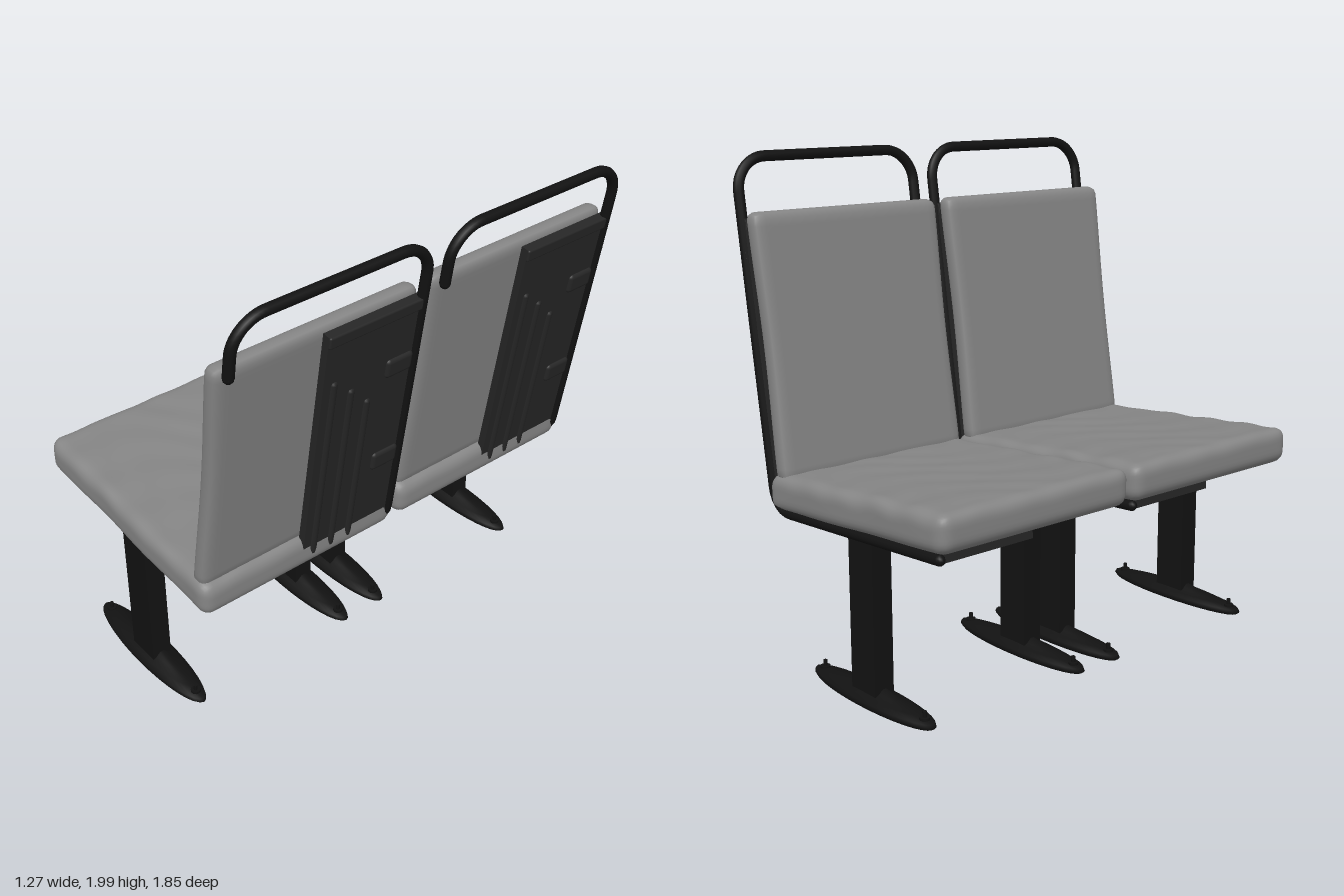
import * as THREE from 'three';
import { mergeVertices } from 'three/addons/utils/BufferGeometryUtils.js';
import { RoundedBoxGeometry } from 'three/addons/geometries/RoundedBoxGeometry.js';

const fabric = new THREE.MeshStandardMaterial({ color: 0x858585 });
const shellMat = new THREE.MeshStandardMaterial({ color: 0x262626 });
const metal = new THREE.MeshStandardMaterial({ color: 0x121212 });

const LEAN = 0.149; // backward lean of the back, x per unit of y
const backX = (y, offset = 0) => 0.497 + offset + LEAN * (y - 1.2);

function add(parent, name, geometry, material, x = 0, y = 0, z = 0) {
  const mesh = new THREE.Mesh(geometry, material);
  mesh.name = name;
  mesh.position.set(x, y, z);
  parent.add(mesh);
  return mesh;
}

// Finely divided rounded box, then bent by a rule
function cushion(size, radius, segments, bend) {
  let geo = new THREE.BoxGeometry(...size, ...segments);
  geo.deleteAttribute('uv');
  geo.deleteAttribute('normal');
  geo = mergeVertices(geo);
  const inner = new THREE.Vector3(...size).multiplyScalar(0.5).subScalar(radius);
  const low = inner.clone().negate();
  const pos = geo.attributes.position;
  const p = new THREE.Vector3(), core = new THREE.Vector3();
  for (let i = 0; i < pos.count; i++) {
    p.fromBufferAttribute(pos, i);
    core.copy(p).clamp(low, inner);
    p.sub(core).setLength(radius).add(core);
    bend(p);
    pos.setXYZ(i, p.x, p.y, p.z);
  }
  geo.computeVertexNormals();
  return geo;
}

// Straight runs joined by rounded corners
function roundedPath(points, radius) {
  const path = new THREE.CurvePath();
  let last = points[0];
  for (let i = 1; i < points.length - 1; i++) {
    const c = points[i];
    const a = points[i - 1].clone().sub(c).setLength(radius).add(c);
    const b = points[i + 1].clone().sub(c).setLength(radius).add(c);
    path.add(new THREE.LineCurve3(last, a));
    const k = 0.55;
    path.add(new THREE.CubicBezierCurve3(a, a.clone().lerp(c, k), b.clone().lerp(c, k), b));
    last = b;
  }
  path.add(new THREE.LineCurve3(last, points[points.length - 1]));
  return path;
}

function pipe(parent, name, points, corner, radius, material, segments) {
  const path = roundedPath(points, corner);
  add(parent, name, new THREE.TubeGeometry(path, segments, radius, 10), material);
  for (const e of [points[0], points[points.length - 1]])
    add(parent, name + 'End', new THREE.SphereGeometry(radius, 10, 6), material, e.x, e.y, e.z);
}

// L-shaped sheet following the back and the underside of the seat
function shellGeometry(width) {
  const v = (x, y) => new THREE.Vector3(x, y, 0);
  const path = roundedPath([v(backX(1.75, -0.008), 1.75), v(backX(0.63, -0.008), 0.63), v(-0.59, 0.69)], 0.09);
  const outer = [], inside = [];
  for (let i = 0; i <= 60; i++) {
    const p = path.getPointAt(i / 60), t = path.getTangentAt(i / 60);
    outer.push(new THREE.Vector2(p.x - t.y * 0.016, p.y + t.x * 0.016));
    inside.push(new THREE.Vector2(p.x + t.y * 0.016, p.y - t.x * 0.016));
  }
  const shape = new THREE.Shape([...outer, ...inside.reverse()]);
  return new THREE.ExtrudeGeometry(shape, { depth: width, bevelEnabled: false });
}

function leg(parent, z) {
  const g = new THREE.Group();
  g.name = 'leg';
  g.position.set(-0.11, 0, z);
  parent.add(g);
  add(g, 'post', new THREE.BoxGeometry(0.145, 0.63, 0.085), metal, 0, 0.345, 0);
  // Long oval foot, domed towards the post
  const profile = [[0, 0.005], [0.96, 0.005], [1, 0.015], [0.98, 0.028], [0.75, 0.04], [0.4, 0.054], [0.22, 0.07], [0, 0.07]];
  const foot = new THREE.LatheGeometry(profile.map(([r, y]) => new THREE.Vector2(r, y)), 32);
  foot.scale(0.367, 1, 0.075);
  add(g, 'foot', foot, metal);
  for (const x of [-0.31, 0.31]) {
    add(g, 'washer', new THREE.CylinderGeometry(0.02, 0.02, 0.012, 12), metal, x, 0.036, 0);
    add(g, 'bolt', new THREE.CylinderGeometry(0.009, 0.009, 0.03, 6), metal, x, 0.05, 0);
  }
}

function createSeat() {
  const seat = new THREE.Group();
  seat.name = 'seat';
  const v = (x, y, z) => new THREE.Vector3(x, y, z);

  // Seat cushion, sloping down to the back and lightly creased
  const base = cushion([1.07, 0.15, 0.912], 0.05, [60, 10, 50], (p) => {
    const rim = Math.pow(Math.abs(p.z) / 0.456, 6);
    const crease = Math.sin(p.x * 23 + 2 * Math.sin(p.z * 9)) * Math.sin(p.z * 17 + p.x * 4);
    if (p.y > 0) p.y += 0.003 * crease + 0.004 * rim * Math.sin(p.x * 31);
    p.z += 0.003 * Math.sin(p.x * 12) * Math.sign(p.z) * rim;
    p.y -= 0.073 * p.x;
  });
  add(seat, 'seatCushion', base, fabric, -0.1, 0.745, 0.463);

  // Back cushion, leaning backwards
  const back = cushion([0.078, 1.02, 0.868], 0.032, [6, 40, 36], (p) => {
    const side = Math.pow(Math.abs(p.z) / 0.434, 8);
    p.z -= Math.sign(p.z) * 0.005 * side * Math.cos(p.y * 6);
    p.x += LEAN * p.y;
  });
  add(seat, 'backCushion', back, fabric, 0.442, 1.267, 0.463);

  // Loose fabric corner under the seat
  const flap = add(seat, 'fabricFlap', new THREE.ConeGeometry(0.05, 0.06, 4), fabric, 0.23, 0.618, 0.14);
  flap.rotation.x = Math.PI;

  // Shell with top lip, ribs and latches
  add(seat, 'shell', shellGeometry(0.43), shellMat, 0, 0, 0.03);
  const lip = add(seat, 'shellLip', new RoundedBoxGeometry(0.042, 0.05, 0.43, 2, 0.008), shellMat, backX(1.725, -0.004), 1.725, 0.245);
  lip.rotation.z = -Math.atan(LEAN);
  [[0.41, 1.52], [0.325, 1.45], [0.24, 1.365]].forEach(([z, top]) => pipe(seat, 'rib',
    [v(backX(top), top, z), v(backX(0.625), 0.625, z), v(0.3, 0.63, z)], 0.08, 0.018, shellMat, 36));
  for (const y of [1.48, 1.03]) {
    const latch = add(seat, 'latch', new RoundedBoxGeometry(0.04, 0.085, 0.125, 3, 0.018), shellMat, backX(y), y, 0.11);
    latch.rotation.z = -Math.atan(LEAN);
  }

  // Grab rail running down one side and forward under the seat
  const grip = [v(backX(1.76), 1.76, 0.868), v(backX(1.978), 1.978, 0.868), v(backX(1.978), 1.978, 0.034), v(backX(1.6), 1.6, 0.034)];
  pipe(seat, 'grabRail', grip, 0.13, 0.021, metal, 80);
  pipe(seat, 'sideRail', [v(backX(1.62), 1.62, 0.034), v(backX(0.635), 0.635, 0.034), v(-0.59, 0.69, 0.034)], 0.09, 0.021, metal, 70);

  for (const z of [0.092, 0.832]) leg(seat, z);
  return seat;
}

export function createModel() {
  const model = new THREE.Group();
  model.name = 'doubleBusSeat';
  const first = createSeat();
  const second = createSeat();
  second.position.z = -0.935;
  model.add(first, second);
  return model;
}
